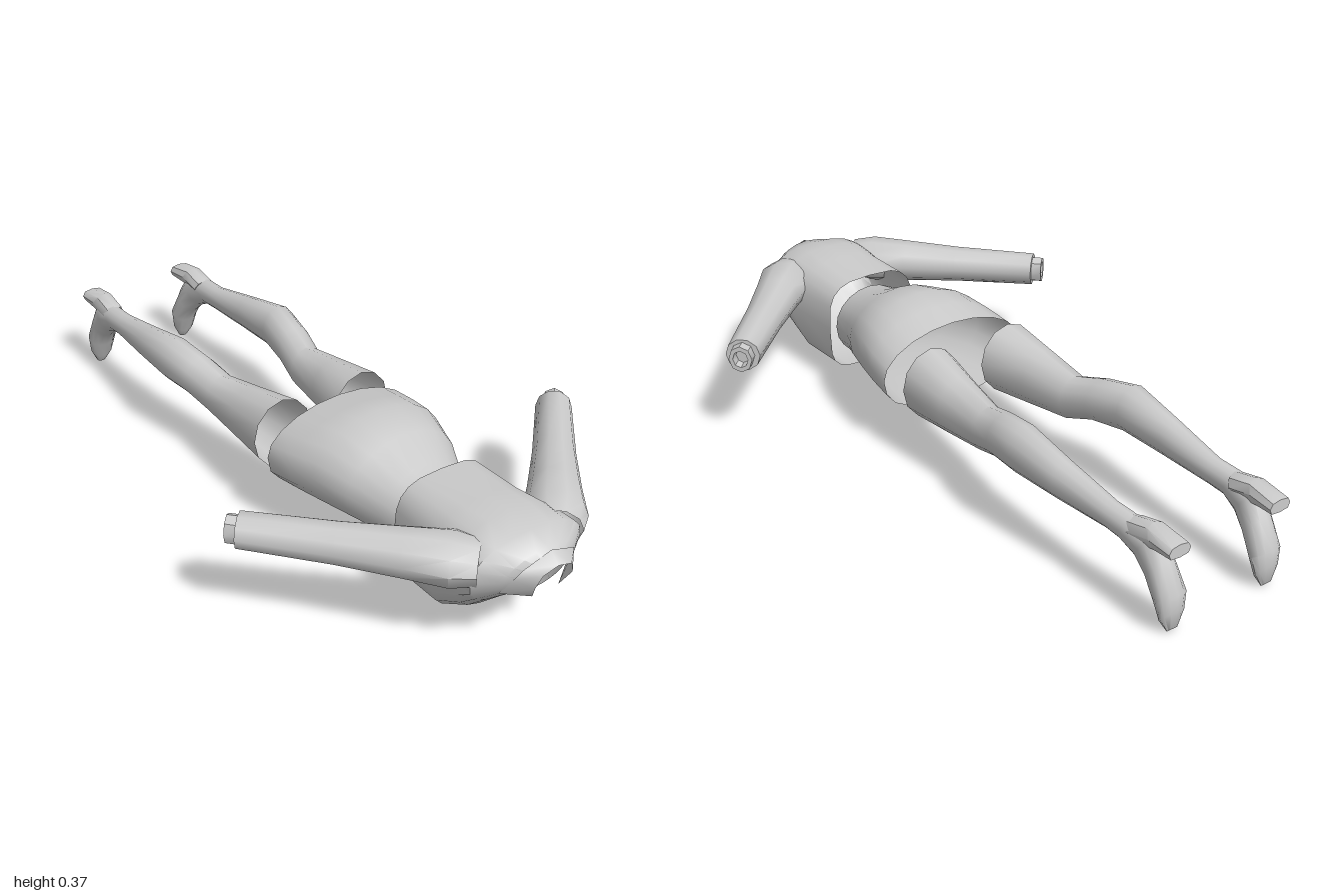
import * as THREE from 'three';
import { toCreasedNormals } from 'three/addons/utils/BufferGeometryUtils.js';

const V = (x, y, z) => new THREE.Vector3(x, y, z);
const material = new THREE.MeshStandardMaterial({ color: 0xcccccc, side: THREE.DoubleSide });

// Oval section in the body: centre x, half width, then its lowest and highest points (z, y).
// Powers below 1 make the lower or upper half boxier.
function section(cx, rx, zb, yb, zt, yt, low = 1, high = 1) {
  return {
    c: V(cx, (yb + yt) / 2, (zb + zt) / 2),
    a: V(rx, 0, 0),
    b: V(0, (yt - yb) / 2, (zt - zb) / 2),
    low, high,
  };
}

// Skin through a row of sections, each with a x b pointing along the row.
function loft(name, rings, sides, { capStart = false, capEnd = false } = {}) {
  const pos = [], index = [];
  const power = (v, p) => Math.sign(v) * Math.abs(v) ** p;
  for (const { c, a, b, low = 1, high = 1 } of rings) {
    for (let j = 0; j < sides; j++) {
      const t = (j / sides) * Math.PI * 2, s = Math.sin(t);
      const p = s < 0 ? low : high;
      const v = c.clone().addScaledVector(a, power(Math.cos(t), p)).addScaledVector(b, power(s, p));
      pos.push(v.x, v.y, v.z);
    }
  }
  for (let i = 0; i < rings.length - 1; i++) {
    for (let j = 0; j < sides; j++) {
      const k = (j + 1) % sides, p = i * sides, q = p + sides;
      index.push(p + j, p + k, q + k, p + j, q + k, q + j);
    }
  }
  const last = (rings.length - 1) * sides;
  for (let j = 1; j < sides - 1; j++) {
    if (capStart) index.push(0, j + 1, j);
    if (capEnd) index.push(last, last + j, last + j + 1);
  }
  const geometry = new THREE.BufferGeometry();
  geometry.setAttribute('position', new THREE.Float32BufferAttribute(pos, 3));
  geometry.setIndex(index);
  const mesh = new THREE.Mesh(toCreasedNormals(geometry, 0.75), material);
  mesh.name = name;
  return mesh;
}

function makeArm() {
  const arm = new THREE.Group();
  const start = V(0.15, 0.262, 0.83), end = V(0.52, 0.268, 0.427);
  const d = end.clone().sub(start).normalize();
  const across = V(0, 1, 0).cross(d).normalize();
  const ring = (t, w, h) => ({
    c: start.clone().lerp(end, t),
    a: across.clone().multiplyScalar(w),
    b: V(0, h, 0),
  });
  arm.add(loft('sleeve', [
    ring(-0.08, 0.07, 0.055), ring(0.04, 0.083, 0.068), ring(0.25, 0.07, 0.063),
    ring(0.55, 0.058, 0.054), ring(1, 0.05, 0.049),
  ], 10, { capEnd: true }));
  // Short wrist, hollow at its tip
  arm.add(loft('wrist', [
    ring(0.96, 0.035, 0.04), ring(1.055, 0.034, 0.04), ring(1.055, 0.022, 0.026), ring(1.0, 0.02, 0.024),
  ], 8));
  return arm;
}

function makeLeg() {
  const leg = new THREE.Group();
  // Toe up to thigh, face down with the toe pointing at the ground
  leg.add(loft('legAndShoe', [
    section(0.157, 0.016, -0.98, 0, -0.992, 0.012),
    section(0.157, 0.036, -0.962, 0.025, -1, 0.065),
    section(0.157, 0.045, -0.943, 0.075, -1, 0.11),
    section(0.16, 0.04, -0.905, 0.125, -0.965, 0.185),
    section(0.165, 0.037, -0.865, 0.16, -0.93, 0.245),
    section(0.17, 0.034, -0.82, 0.182, -0.85, 0.256),
    section(0.17, 0.033, -0.77, 0.185, -0.77, 0.258),
    section(0.178, 0.045, -0.6, 0.184, -0.6, 0.29),
    section(0.182, 0.058, -0.44, 0.185, -0.44, 0.32),
    section(0.165, 0.058, -0.33, 0.175, -0.33, 0.3),
    section(0.148, 0.056, -0.24, 0.145, -0.24, 0.275),
    section(0.142, 0.072, -0.1, 0.13, -0.1, 0.3),
    section(0.134, 0.093, 0.05, 0.117, 0.05, 0.326),
  ], 12, { capStart: true }));
  leg.add(loft('heel', [
    section(0.163, 0.034, -1, 0.22, -1, 0.256, 0.6, 0.8),
    section(0.165, 0.034, -0.945, 0.215, -0.91, 0.273, 0.7),
    section(0.167, 0.034, -0.87, 0.2, -0.84, 0.256),
  ], 8, { capStart: true, capEnd: true }));
  return leg;
}

// Standing collar around the back and sides of the neck opening
function makeCollar() {
  const half = [ // inner x, y, z, outer x, y, z
    [0, 0.283, 1, 0, 0.312, 0.972],
    [0.045, 0.27, 0.998, 0.08, 0.285, 0.968],
    [0.06, 0.235, 0.99, 0.095, 0.25, 0.95],
    [0.042, 0.19, 0.965, 0.11, 0.2, 0.92],
  ];
  const mirror = ([a, b, c, d, e, f]) => [-a, b, c, -d, e, f];
  const row = [...half.slice(1).reverse(), ...half.slice(0, 1), ...half.slice(1).map(mirror)];
  const index = [];
  for (let i = 0; i < row.length - 1; i++) {
    const p = i * 2;
    index.push(p, p + 1, p + 3, p, p + 3, p + 2);
  }
  const geometry = new THREE.BufferGeometry();
  geometry.setAttribute('position', new THREE.Float32BufferAttribute(row.flat(), 3));
  geometry.setIndex(index);
  geometry.computeVertexNormals();
  const mesh = new THREE.Mesh(geometry, material);
  mesh.name = 'collar';
  return mesh;
}

export function createModel() {
  const model = new THREE.Group();
  model.name = 'lyingFigure';

  // Skirt, open at the hem and tucked into the jacket at the waist
  model.add(loft('skirt', [
    section(0, 0.238, 0.13, 0.1, 0.13, 0.338, 0.8),
    section(0, 0.228, 0.22, 0.1, 0.22, 0.355, 0.85),
    section(0, 0.212, 0.3, 0.1, 0.3, 0.37, 0.85),
    section(0, 0.178, 0.41, 0.095, 0.41, 0.348, 0.9),
    section(0, 0.135, 0.5, 0.085, 0.5, 0.305, 0.9),
    section(0, 0.122, 0.58, 0.08, 0.58, 0.29, 0.9),
  ], 20));

  // Jacket, open at hem and neck, with the bust lowest
  model.add(loft('jacket', [
    section(0, 0.15, 0.57, 0.045, 0.57, 0.33, 0.45, 0.6),
    section(0, 0.155, 0.73, 0.04, 0.73, 0.336, 0.5, 0.7),
    section(0, 0.168, 0.83, 0.1, 0.82, 0.342, 0.6, 0.8),
    section(0, 0.178, 0.885, 0.15, 0.9, 0.33, 0.8, 0.9),
    section(0, 0.115, 0.915, 0.17, 0.96, 0.314),
    section(0, 0.06, 0.935, 0.183, 0.985, 0.29),
  ], 20));
  model.add(makeCollar());

  for (const [side, sign] of [['left', 1], ['right', -1]]) {
    for (const [part, make] of [['Arm', makeArm], ['Leg', makeLeg]]) {
      const limb = make();
      limb.name = side + part;
      limb.scale.x = sign;
      model.add(limb);
    }
  }
  return model;
}
